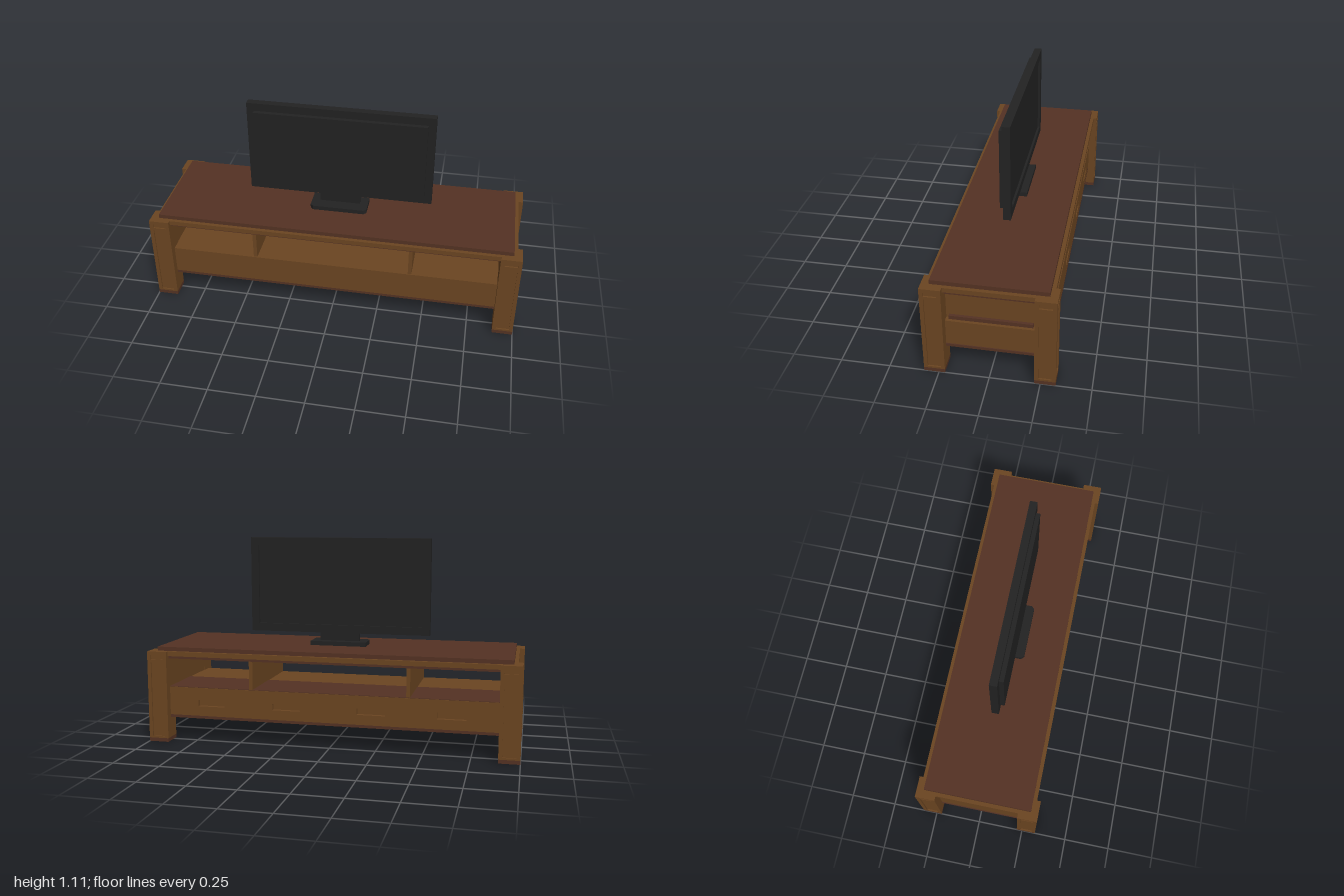
import * as THREE from 'three';

const mat = (name, color) => {
  const m = new THREE.MeshStandardMaterial({ color });
  m.name = name;
  return m;
};

export function createModel() {
  const brown = mat('brown wood', 0x6b4521);
  const dark = mat('dark wood', 0x543223);
  const black = mat('black plastic', 0x222222);
  const model = new THREE.Group();
  model.name = 'mediaBenchWithScreen';

  const add = (name, geo, material, parent = model) => {
    const mesh = new THREE.Mesh(geo, material);
    mesh.name = name;
    parent.add(mesh);
    return mesh;
  };
  // Box given by its lower and upper bounds
  const box = (name, material, x0, x1, y0, y1, z0, z1, parent) => {
    const geo = new THREE.BoxGeometry(x1 - x0, y1 - y0, z1 - z0);
    geo.translate((x0 + x1) / 2, (y0 + y1) / 2, (z0 + z1) / 2);
    return add(name, geo, material, parent);
  };
  const rect = (P, x0, x1, y0, y1) => {
    const p = new P();
    p.moveTo(x0, y0); p.lineTo(x1, y0); p.lineTo(x1, y1); p.lineTo(x0, y1);
    p.closePath();
    return p;
  };
  // Flat plate in the xy plane with rectangular openings
  const plate = (outer, holes, depth) => {
    const s = rect(THREE.Shape, ...outer);
    holes.forEach((h) => s.holes.push(rect(THREE.Path, ...h)));
    return new THREE.ExtrudeGeometry(s, { depth, bevelEnabled: false });
  };

  // Four legs with recessed panels on the outward faces
  const t = 0.008;
  for (const sx of [-1, 1]) for (const sz of [-1, 1]) {
    const leg = new THREE.Group();
    leg.name = 'leg';
    leg.scale.set(sx, 1, sz);
    model.add(leg);
    box('legCore', brown, 0.89, 1 - t, 0.02, 0.5, 0.22, 0.325 - t, leg);
    box('foot', dark, 0.89, 1, 0, 0.02, 0.22, 0.325, leg);
    const zFrame = plate([0.89, 1, 0.02, 0.5],
      [[0.91, 0.98, 0.03, 0.44], [0.91, 0.98, 0.457, 0.48]], t);
    add('legFrame', zFrame, brown, leg).position.z = 0.325 - t;
    const xFrame = plate([-0.325 + t, -0.22, 0.02, 0.5],
      [[-0.305, -0.24, 0.03, 0.44], [-0.305, -0.24, 0.457, 0.48]], t);
    xFrame.rotateY(Math.PI / 2);
    add('legSideFrame', xFrame, brown, leg).position.x = 1 - t;
  }

  // Table top and its rails
  box('topPanel', dark, -0.955, 0.955, 0.5, 0.522, -0.285, 0.285);
  box('topFrame', brown, -0.975, 0.975, 0.475, 0.5, -0.305, 0.305);
  box('topUnderside', dark, -0.96, 0.96, 0.46, 0.475, -0.29, 0.29);

  // Drawer box: floor, body, and front with recessed pulls
  box('boxFloor', dark, -0.955, 0.955, 0.132, 0.147, -0.285, 0.285);
  box('boxBody', brown, -0.95, 0.95, 0.147, 0.285, -0.262, 0.285);
  box('shelf', brown, -0.91, 0.91, 0.285, 0.302, -0.28, 0.285);
  box('shelfInlay', dark, -0.89, 0.89, 0.302, 0.305, -0.28, 0);
  const pulls = [-0.65, -0.23, 0.23, 0.65].map((x) => [x - 0.075, x + 0.075, 0.2, 0.235]);
  add('drawerFront', plate([-0.92, 0.92, 0.147, 0.302], pulls, 0.022), brown).position.z = -0.284;

  // End panels with stepped mouldings, and compartment dividers
  for (const s of [-1, 1]) {
    const end = new THREE.Group();
    end.name = 'endPanel';
    end.scale.x = s;
    model.add(end);
    box('panel', brown, 0.892, 0.92, 0.285, 0.475, -0.22, 0.22, end);
    box('ledge', dark, 0.9, 0.935, 0.285, 0.305, -0.205, 0.205, end);
    box('lowerMoulding', dark, 0.9, 0.935, 0.435, 0.45, -0.22, 0.22, end);
    box('upperMoulding', dark, 0.9, 0.95, 0.45, 0.462, -0.21, 0.21, end);
    box('divider', brown, 0.415, 0.435, 0.3, 0.465, -0.28, 0.28, end);
  }

  // Screen: casing with recessed display on one face, raised cover on the other
  const casing = plate([-0.5, 0.5, 0.59, 1.11], [[-0.457, 0.457, 0.633, 1.067]], 0.04);
  add('screenCasing', casing, black).position.z = -0.02;
  box('display', black, -0.457, 0.457, 0.633, 1.067, -0.008, 0.02);
  box('rearCover', black, -0.46, 0.46, 0.633, 1.067, 0.019, 0.043);
  box('neck', black, -0.11, 0.11, 0.54, 0.6, 0, 0.02);

  // Stand base with clipped corners
  const base = new THREE.Shape([[-0.155, 0.045], [-0.155, -0.07], [-0.14, -0.085],
    [0.14, -0.085], [0.155, -0.07], [0.155, 0.045]].map((p) => new THREE.Vector2(...p)));
  const baseGeo = new THREE.ExtrudeGeometry(base, { depth: 0.023, bevelEnabled: false });
  baseGeo.rotateX(-Math.PI / 2);
  add('standBase', baseGeo, black).position.y = 0.522;

  return model;
}
